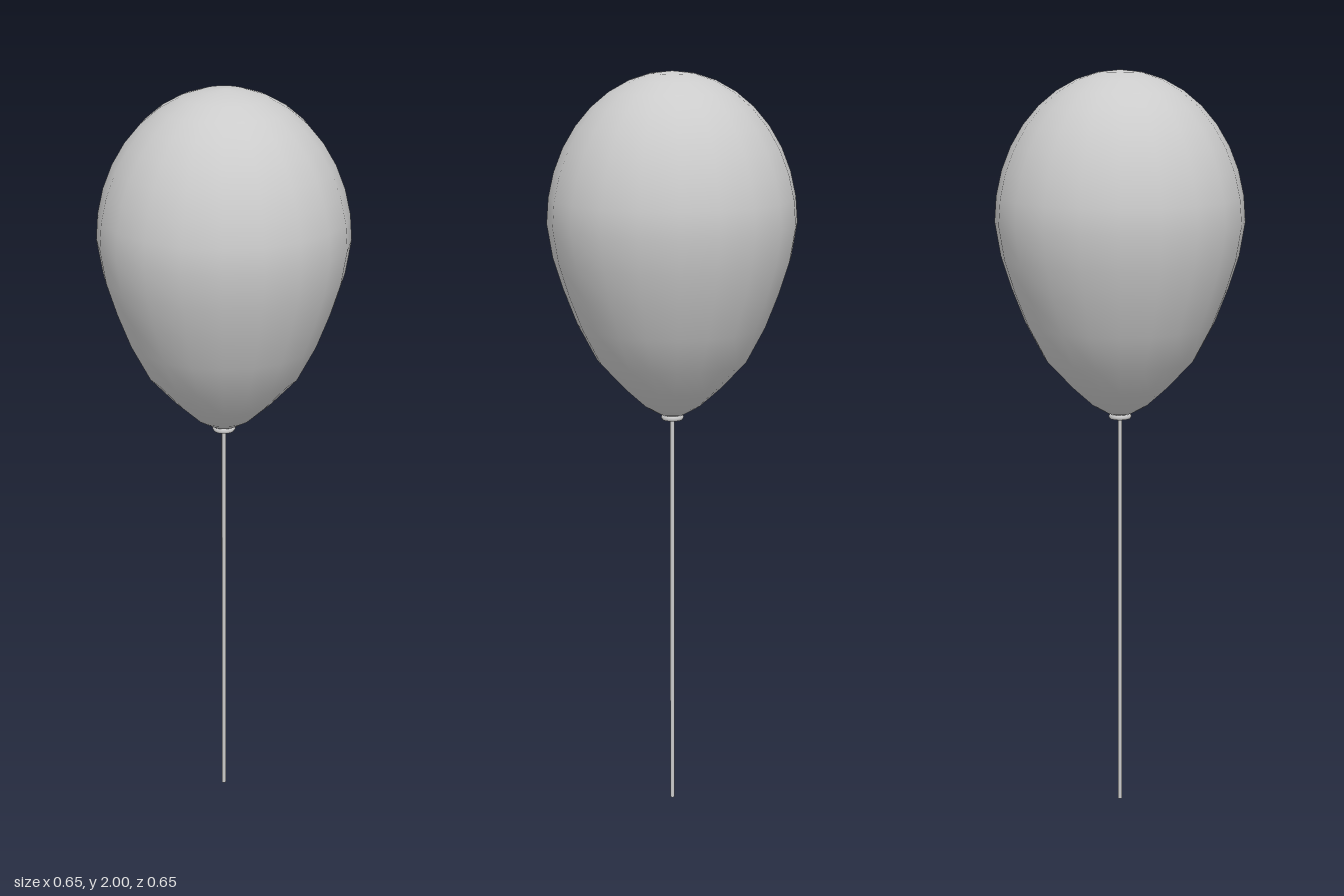
import * as THREE from 'three';

export function createModel() {
  const group = new THREE.Group();
  const material = new THREE.MeshStandardMaterial({ color: 0xcccccc, side: THREE.DoubleSide });
  const add = (name, geometry, y = 0) => {
    const mesh = new THREE.Mesh(geometry, material);
    mesh.name = name;
    mesh.position.y = y;
    group.add(mesh);
    return mesh;
  };

  // Inflated body: teardrop profile below, rounded dome above
  const profile = [
    [0, 1.095], [0.035, 1.102], [0.075, 1.125], [0.13, 1.175], [0.2, 1.25], [0.25, 1.345],
    [0.285, 1.435], [0.312, 1.52], [0.327, 1.61],
  ].map(([r, y]) => new THREE.Vector2(r, y));
  const steps = 9;
  for (let i = 1; i <= steps; i++) {
    const a = (i / steps) * Math.PI / 2;
    profile.push(new THREE.Vector2(i === steps ? 0 : 0.327 * Math.cos(a), 1.61 + 0.39 * Math.sin(a)));
  }
  add('balloonBody', new THREE.LatheGeometry(profile, 20));

  // Rolled rim at the neck
  add('neckRim', new THREE.TorusGeometry(0.024, 0.007, 6, 16), 1.092).rotation.x = Math.PI / 2;

  // Knot filling the neck
  add('knot', new THREE.CylinderGeometry(0.022, 0.012, 0.02, 12), 1.095);

  // Hanging string
  add('string', new THREE.CylinderGeometry(0.006, 0.006, 1.095, 8), 0.5475);

  return group;
}
